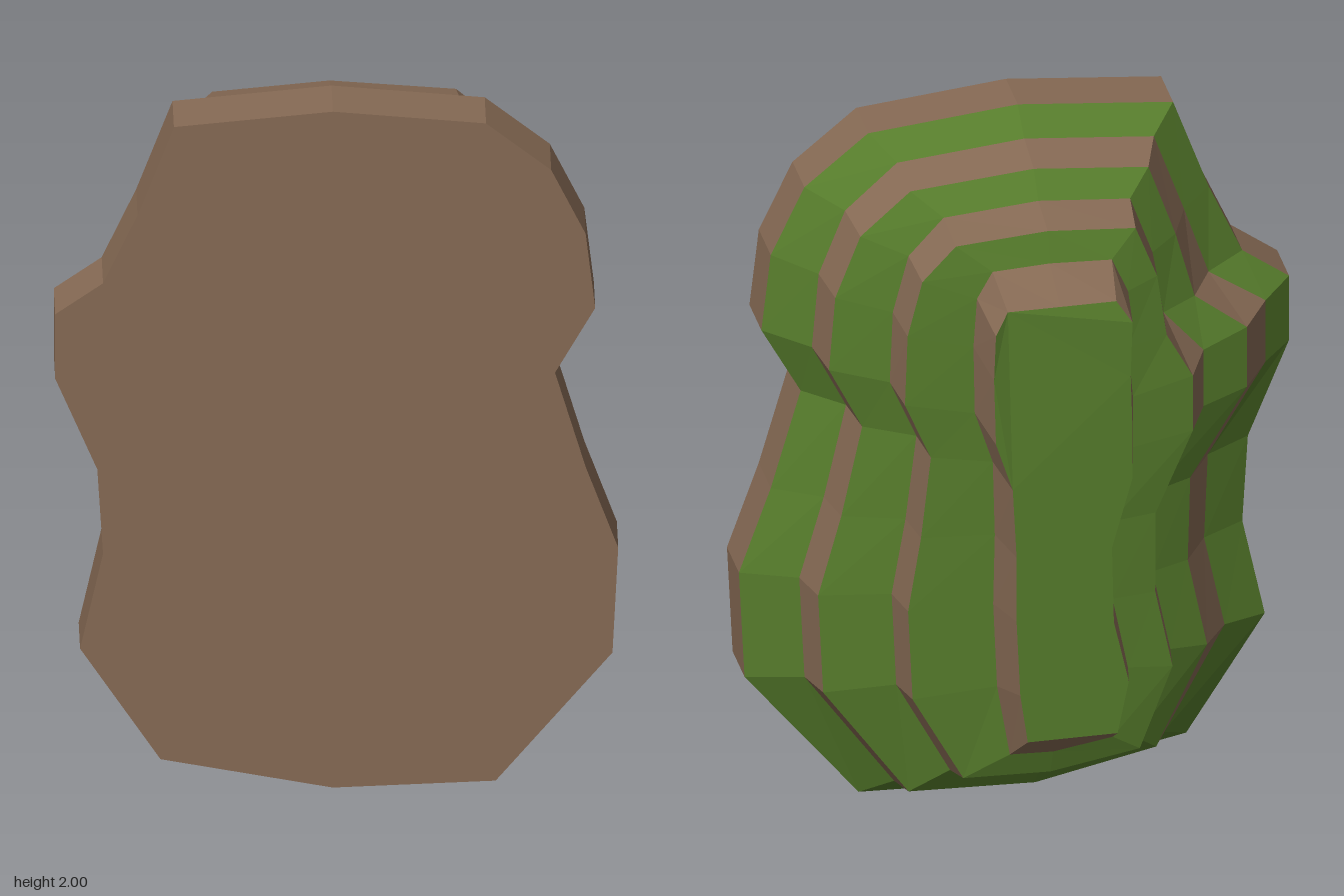
import * as THREE from 'three';

// Outer foot outline of the terraced hill, clockwise from the top.
const FOOT = [
  [-0.01, 2], [0.39, 1.96], [0.56, 1.82], [0.65, 1.63], [0.675, 1.41],
  [0.57, 1.22], [0.65, 0.94], [0.735, 0.7], [0.72, 0.39], [0.415, 0.015],
  [-0.01, 0], [-0.46, 0.09], [-0.67, 0.42], [-0.61, 0.7], [-0.625, 0.95],
  [-0.735, 1.22], [-0.735, 1.41], [-0.61, 1.5], [-0.52, 1.7], [-0.425, 1.96],
];
// Matching outline of the summit plateau.
const SUMMIT = [
  [-0.01, 1.67], [0.13, 1.67], [0.165, 1.61], [0.17, 1.48], [0.165, 1.29],
  [0.12, 1.15], [0.11, 0.95], [0.11, 0.76], [0.1, 0.54], [0.08, 0.4],
  [-0.02, 0.4], [-0.16, 0.4], [-0.19, 0.55], [-0.15, 0.73], [-0.145, 0.95],
  [-0.2, 1.15], [-0.2, 1.29], [-0.195, 1.45], [-0.2, 1.61], [-0.16, 1.67],
];
// Terrace levels: z, then inward blends for +x side, -x side, side bulge, upper y, lower y.
const LEVELS = [
  [0.34, 0, 0, 0, 0, 0],
  [0.195, 0, 0, 0, 0, 0],
  [0.115, 0.23, 0.26, 0.15, 0.18, 0.17],
  [0, 0.27, 0.41, 0.29, 0.27, 0.24],
  [-0.055, 0.565, 0.64, 0.53, 0.47, 0.45],
  [-0.17, 0.595, 0.68, 0.63, 0.56, 0.54],
  [-0.195, 0.95, 0.94, 0.94, 0.81, 0.72],
  [-0.337, 1, 1, 1, 1, 1],
];

// One cross-section, blended between foot and summit.
function ring([z, tRight, tLeft, tBulge, tUpper, tLower]) {
  return FOOT.map(([x, y], i) => {
    const [sx, sy] = SUMMIT[i];
    const tx = x > 0 ? tRight : x < -0.7 ? tBulge : tLeft;
    const ty = y > 1 ? tUpper : tLower;
    // the plateau dips slightly along its upper edge
    const dip = ty === 1 && sy > 1.65 ? 0.015 : 0;
    return [x + (sx - x) * tx, y + (sy - y) * ty, z + dip];
  });
}

// Unshared corners give every facet its own flat normal.
function mesh(name, triangles, material) {
  const geometry = new THREE.BufferGeometry();
  geometry.setAttribute('position', new THREE.Float32BufferAttribute(triangles.flat(2), 3));
  geometry.computeVertexNormals();
  const m = new THREE.Mesh(geometry, material);
  m.name = name;
  return m;
}

// Faceted band joining two neighbouring rings.
function band(a, b) {
  return a.flatMap((p, i) => {
    const j = (i + 1) % a.length;
    return [[p, a[j], b[i]], [a[j], b[j], b[i]]];
  });
}

// Filled ring facing +z (side = 1) or -z (side = -1).
function cap(points, side) {
  const flat = points.map(([x, y]) => new THREE.Vector2(x, y));
  return THREE.ShapeUtils.triangulateShape(flat, []).map(([a, b, c]) => {
    const u = flat[b].clone().sub(flat[a]);
    const v = flat[c].clone().sub(flat[a]);
    const tri = [points[a], points[b], points[c]];
    return u.cross(v) * side < 0 ? tri.reverse() : tri;
  });
}

export function createModel() {
  const earth = new THREE.MeshStandardMaterial({ color: 0x866a54 });
  earth.name = 'earth brown';
  const grass = new THREE.MeshStandardMaterial({ color: 0x577d2c });
  grass.name = 'grass green';

  const hill = new THREE.Group();
  hill.name = 'terracedHill';
  const rings = LEVELS.map(ring);

  // Cliffs and grassy ledges alternate from foot to summit.
  for (let k = 0; k < rings.length - 1; k++) {
    const cliff = k % 2 === 0;
    const name = (cliff ? 'cliff' : 'grassLedge') + (Math.floor(k / 2) + 1);
    hill.add(mesh(name, band(rings[k], rings[k + 1]), cliff ? earth : grass));
  }
  hill.add(mesh('underside', cap(rings[0], 1), earth));
  hill.add(mesh('summitGrass', cap(rings[rings.length - 1], -1), grass));
  return hill;
}
